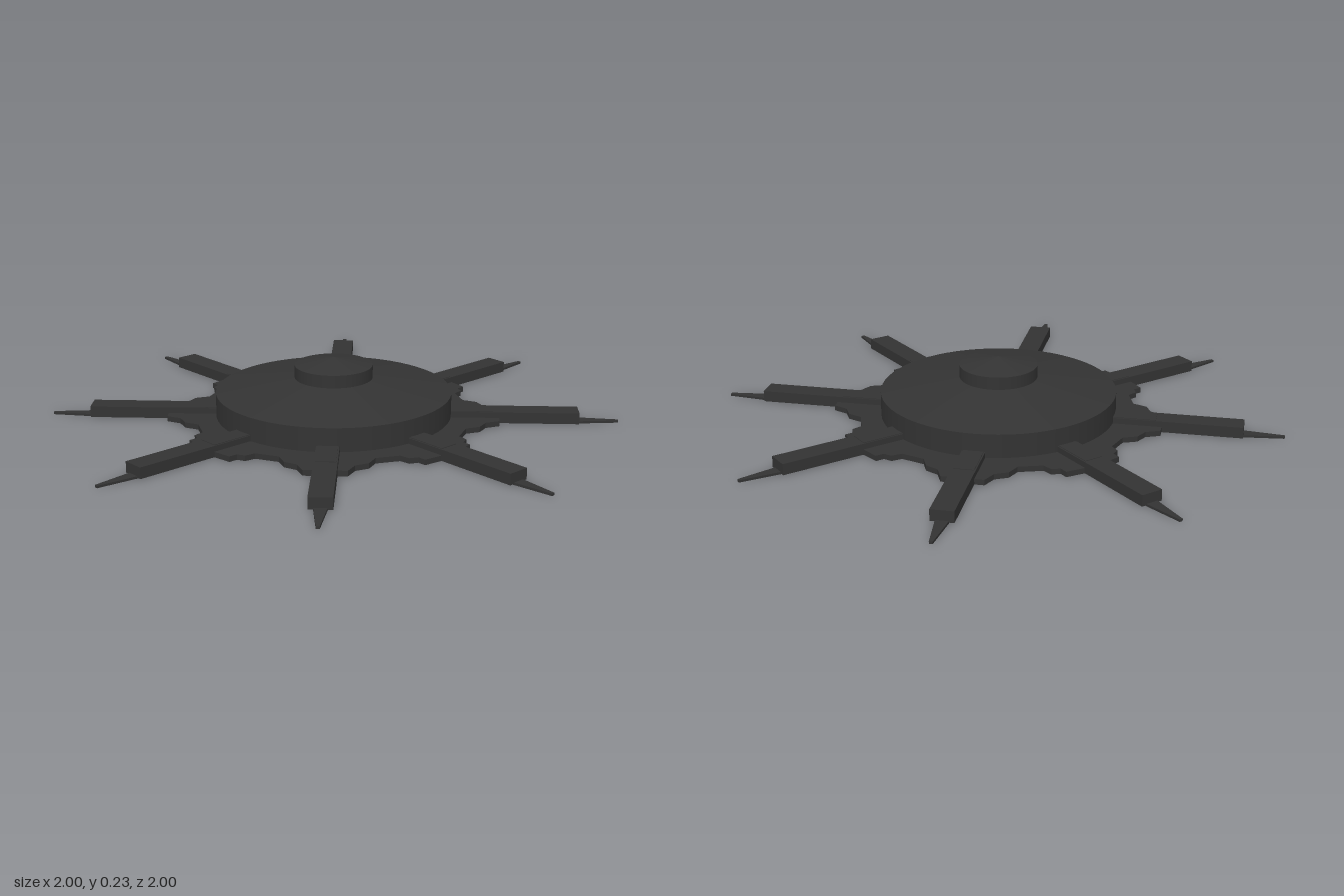
import * as THREE from 'three';

export function createModel() {
  const group = new THREE.Group();
  const hull = new THREE.MeshStandardMaterial({ color: 0x333333 });
  hull.name = 'charcoal';

  const add = (name, geometry, parent = group) => {
    const mesh = new THREE.Mesh(geometry, hull);
    mesh.name = name;
    parent.add(mesh);
    return mesh;
  };

  // Flat slab: a shape drawn in plan and raised from y0 to y1
  const slab = (points, y0, y1) => {
    const shape = new THREE.Shape(points.map(([x, y]) => new THREE.Vector2(x, y)));
    const geometry = new THREE.ExtrudeGeometry(shape, { depth: y1 - y0, bevelEnabled: false });
    geometry.rotateX(-Math.PI / 2);
    geometry.translate(0, y0, 0);
    return geometry;
  };

  // Jagged base plate: one eighth of the outline, mirrored and turned four times
  const eighth = [
    [0.565, 0.04], [0.556, 0.107], [0.525, 0.107], [0.513, 0.135], [0.475, 0.14],
    [0.437, 0.215], [0.457, 0.263], [0.442, 0.31], [0.462, 0.36], [0.437, 0.385],
  ];
  const quarter = [...eighth, ...eighth.map(([x, y]) => [y, x]).reverse()];
  const outline = [];
  for (let i = 0; i < 4; i++) {
    const c = Math.round(Math.cos(i * Math.PI / 2));
    const s = Math.round(Math.sin(i * Math.PI / 2));
    for (const [x, y] of quarter) outline.push([x * c - y * s, x * s + y * c]);
  }
  add('basePlate', slab(outline, 0.003, 0.022));

  // Round body: drum, sloping roof, turret and its shallow cap
  const disc = (name, rTop, rBottom, y0, y1, open = true) => {
    const geometry = new THREE.CylinderGeometry(rTop, rBottom, y1 - y0, 64, 1, open);
    geometry.translate(0, (y0 + y1) / 2, 0);
    add(name, geometry);
  };
  disc('drum', 0.414, 0.414, 0.02, 0.105, false);
  disc('roof', 0.137, 0.414, 0.105, 0.153);
  disc('turret', 0.137, 0.137, 0.15, 0.198);
  disc('turretCap', 0, 0.137, 0.198, 0.226);

  // Eight arms, each with a narrow inner rail and a flat tapering spike
  for (let i = 0; i < 8; i++) {
    const arm = new THREE.Group();
    arm.name = 'arm' + (i + 1);
    arm.rotation.y = i * Math.PI / 4;
    add('beam', slab([[0.3, -0.039], [0.86, -0.039], [0.86, 0.039], [0.3, 0.039]], 0.003, 0.042), arm);
    add('innerRail', slab([[0.3, -0.034], [0.56, -0.034], [0.56, 0.034], [0.3, 0.034]], 0.02, 0.044), arm);
    add('spike', slab([[0.84, -0.024], [1, -0.006], [1, 0.006], [0.84, 0.024]], 0, 0.008), arm);
    group.add(arm);
  }

  return group;
}
